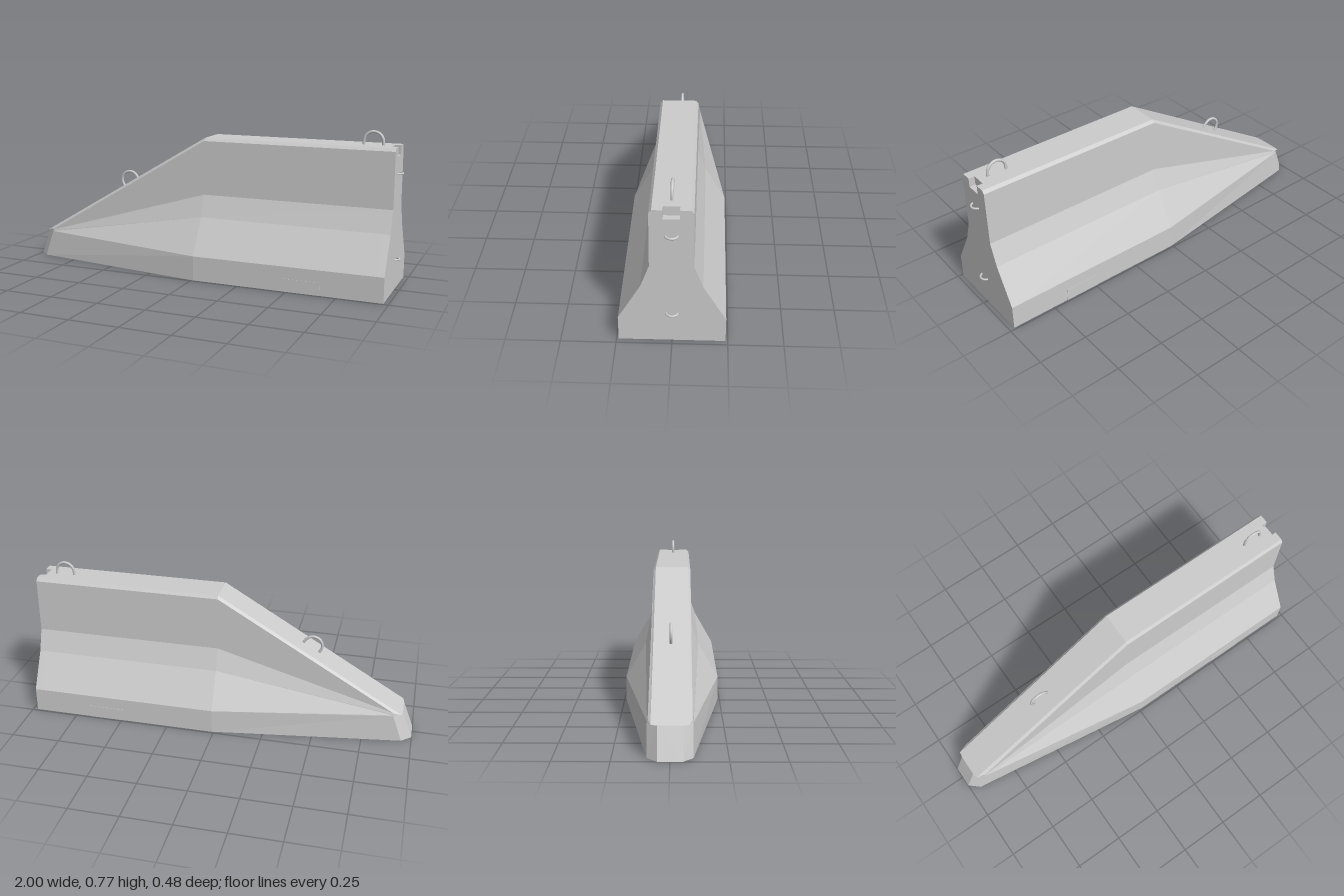
import * as THREE from 'three';

const END = 0.975, NOTCH = 0.03;
const material = new THREE.MeshStandardMaterial({ color: 0xcccccc, flatShading: true });
const steel = new THREE.MeshStandardMaterial({ color: 0xcccccc });

// Half profile of the wall, bottom to top, as [y, z]
const PROFILE = [[0, 0.24], [0.125, 0.24], [0.305, 0.137], [0.415, 0.097], [0.69, 0.095], [0.705, 0.083]];

// Half sections along the length as [x, y, z], from nose tip to notch
const SECTIONS = [
  [[-1, 0, 0.055], ...Array(5).fill([-0.945, 0.14, 0.055])],
  [[-0.95, 0, 0.1], [-0.9, 0.14, 0.1], [-0.9, 0.145, 0.099], [-0.9, 0.15, 0.098], [-0.9, 0.155, 0.096], [-0.94, 0.143, 0.083]],
  PROFILE.map(([y, z]) => [0.01, y, z]),
  PROFILE.map(([y, z]) => [END - NOTCH, y, z]),
];

// Skin mirrored half sections into a closed, flat shaded solid
function loft(sections) {
  const rings = sections.map(h => [...h, ...[...h].reverse().map(([x, y, z]) => [x, y, -z])]);
  const pos = [];
  const quad = (a, b, c, d) => pos.push(...a, ...b, ...c, ...a, ...c, ...d);
  const n = rings[0].length;
  for (let s = 0; s < rings.length - 1; s++) {
    const a = rings[s], b = rings[s + 1];
    for (let i = 0; i < n; i++) {
      const j = (i + 1) % n;
      quad(a[i], b[i], b[j], a[j]);
    }
  }
  const first = rings[0], last = rings[rings.length - 1];
  for (let i = 0; i < n / 2 - 1; i++) {
    const k = n - 1 - i;
    quad(last[i], last[k], last[k - 1], last[i + 1]);
    quad(first[i], first[i + 1], first[k - 1], first[k]);
  }
  const g = new THREE.BufferGeometry();
  g.setAttribute('position', new THREE.Float32BufferAttribute(pos, 3));
  g.computeVertexNormals();
  return g;
}

// Bent bar: two legs joined by a half circle, opening downwards
function liftingLoop(name, radius, leg, bar) {
  const path = new THREE.CurvePath();
  const pts = [new THREE.Vector3(radius, -leg, 0), new THREE.Vector3(radius, -leg / 2, 0)];
  for (let i = 0; i <= 10; i++) {
    const a = Math.PI * i / 10;
    pts.push(new THREE.Vector3(Math.cos(a) * radius, Math.sin(a) * radius, 0));
  }
  pts.push(new THREE.Vector3(-radius, -leg / 2, 0), new THREE.Vector3(-radius, -leg, 0));
  const curve = new THREE.CatmullRomCurve3(pts);
  const mesh = new THREE.Mesh(new THREE.TubeGeometry(curve, 36, bar, 10), steel);
  mesh.name = name;
  return mesh;
}

export function createModel() {
  const group = new THREE.Group();
  group.name = 'barrierEndSection';
  const add = (name, geometry) => {
    const mesh = new THREE.Mesh(geometry, material);
    mesh.name = name;
    group.add(mesh);
    return mesh;
  };

  // Wall, ramp and nose
  add('barrierBody', loft(SECTIONS));

  // End slice with the notch in its top
  const outline = [
    ...PROFILE.map(([y, z]) => [z, y]),
    [0.036, 0.705], [0.036, 0.66], [-0.036, 0.66], [-0.036, 0.705],
    ...[...PROFILE].reverse().map(([y, z]) => [-z, y]),
  ];
  const shape = new THREE.Shape(outline.map(p => new THREE.Vector2(...p)));
  const slice = new THREE.ExtrudeGeometry(shape, { depth: NOTCH, bevelEnabled: false });
  slice.rotateY(Math.PI / 2).translate(END - NOTCH, 0, 0);
  add('notchedEnd', slice);

  // Foot panels on both sides
  for (const side of [1, -1]) {
    const panel = add('footPanel', new THREE.BoxGeometry(0.18, 0.065, 0.01));
    panel.position.set(0.58, 0.0325, side * 0.2365);
  }

  // Lifting loops on the crest and on the ramp
  const crest = liftingLoop('crestLoop', 0.047, 0.06, 0.007);
  crest.position.set(0.85, 0.721, 0);
  const ramp = liftingLoop('rampLoop', 0.047, 0.06, 0.007);
  ramp.position.set(-0.465, 0.443, 0);
  ramp.rotation.z = Math.atan2(0.565, 0.95);
  group.add(crest, ramp);

  // Coupling loops lying flat on the end face
  const sideways = new THREE.Matrix4().makeBasis(
    new THREE.Vector3(0, 0, 1), new THREE.Vector3(1, 0, 0), new THREE.Vector3(0, 1, 0));
  for (const y of [0.155, 0.575]) {
    const loop = liftingLoop('couplingLoop', 0.027, 0.03, 0.005);
    loop.quaternion.setFromRotationMatrix(sideways);
    loop.position.set(0.968, y, 0);
    group.add(loop);
  }
  return group;
}
